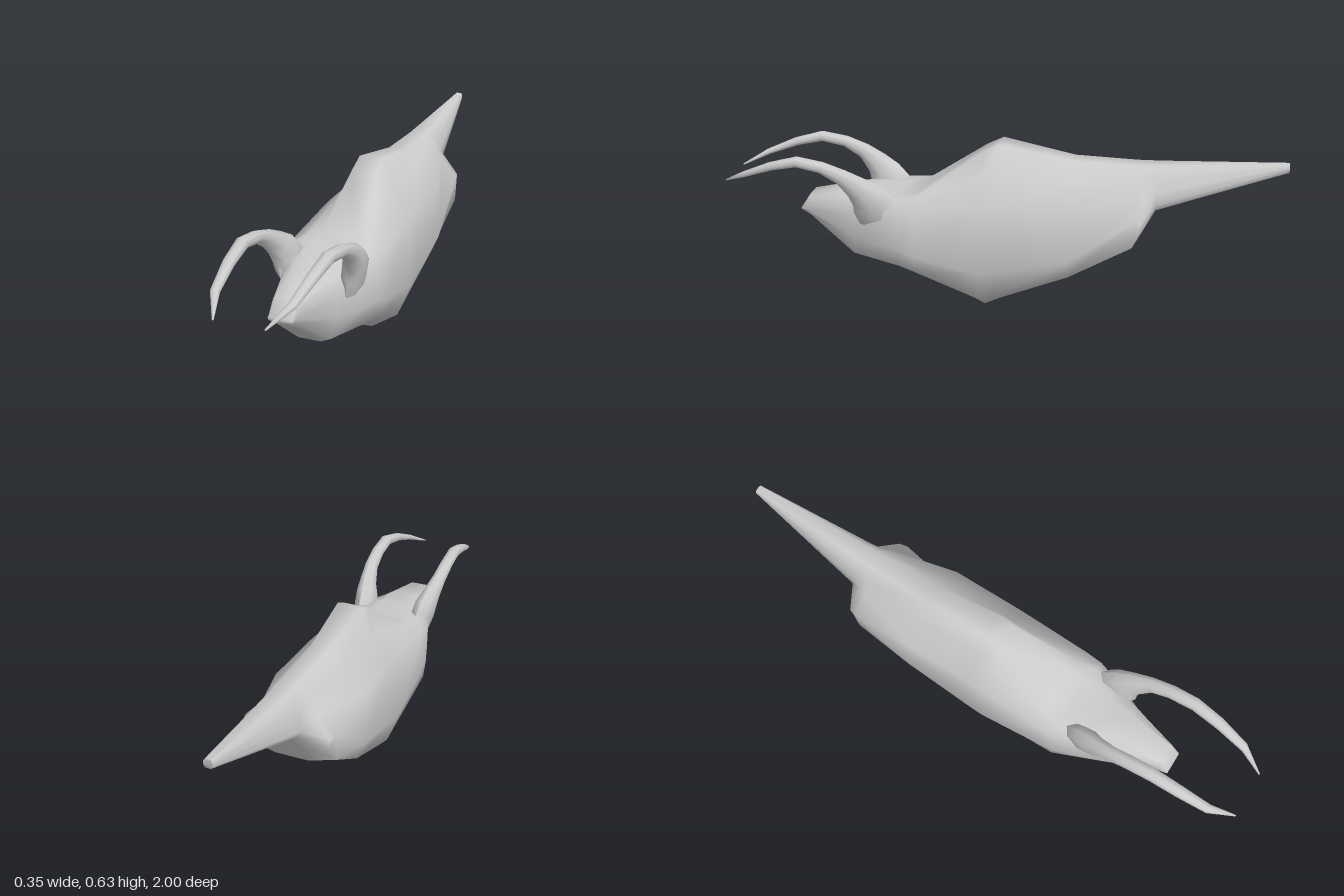
import * as THREE from 'three';
import { toCreasedNormals } from 'three/addons/utils/BufferGeometryUtils.js';

// Skin a list of rings of points and cap both ends.
function loft(rings, crease) {
  const n = rings[0].length, idx = [];
  for (let i = 0; i < rings.length - 1; i++) {
    for (let j = 0; j < n; j++) {
      const a = i * n + j, b = i * n + (j + 1) % n;
      idx.push(a, b, a + n, b, b + n, a + n);
    }
  }
  const last = (rings.length - 1) * n;
  for (let j = 1; j < n - 1; j++) {
    idx.push(0, j + 1, j, last, last + j, last + j + 1);
  }
  const g = new THREE.BufferGeometry();
  g.setAttribute('position', new THREE.Float32BufferAttribute(rings.flat(2), 3));
  g.setIndex(idx);
  return toCreasedNormals(g, crease);
}

// Half sections: z, then x, y pairs from top to bottom on the left side.
const head = [
  [0.735, [.036, .345, .040, .344, .042, .342, .042, .339, .040, .336, .034, .334]],
  [0.70, [.032, .397, .042, .385, .047, .36, .047, .335, .043, .318, .03, .308]],
  [0.53, [.05, .43, .085, .408, .102, .36, .10, .27, .078, .192, .04, .175]],
  [0.43, [.06, .432, .105, .428, .138, .39, .136, .26, .12, .192, .04, .165]],
];
const torso = [
  [0.34, [.07, .432, .125, .434, .162, .41, .165, .26, .157, .192, .03, .155]],
  [0.28, [.068, .447, .11, .442, .164, .42, .167, .235, .152, .168, .03, .122]],
  [0.05, [.047, .605, .088, .515, .164, .445, .172, .19, .125, .065, .026, .0]],
  [-0.01, [.045, .635, .086, .525, .164, .45, .172, .20, .126, .085, .026, .03]],
  [-0.27, [.034, .588, .084, .53, .164, .455, .17, .26, .14, .19, .03, .16]],
  [-0.49, [.03, .585, .070, .545, .100, .49, .163, .425, .16, .33, .06, .30]],
];
const tail = [
  [-0.52, [.03, .586, .065, .545, .085, .49, .156, .425, .15, .385, .05, .37]],
  [-0.56, [.029, .587, .058, .55, .072, .50, .076, .46, .055, .433, .02, .42]],
  [-1.0, [.009, .615, .014, .61, .016, .603, .016, .596, .014, .589, .009, .585]],
];

// Mirror a half section into a full ring.
function section([z, p]) {
  const half = [];
  for (let i = 0; i < p.length; i += 2) half.push([p[i], p[i + 1], z]);
  return [...half.map(([x, y]) => [-x, y, z]).reverse(), ...half];
}

// Horn path from flared root to tip: x, y, z, half width, half thickness.
const hornPath = [
  [.108, .355, .415, .034, .080],
  [.117, .405, .435, .040, .080],
  [.122, .440, .455, .040, .066],
  [.132, .475, .488, .032, .048],
  [.142, .516, .54, .026, .031],
  [.145, .548, .61, .025, .021],
  [.144, .563, .70, .024, .02],
  [.138, .538, .80, .022, .016],
  [.125, .495, .91, .017, .011],
  [.084, .452, 1.0, .003, .003],
];

function hornRings(side) {
  const sides = 8;
  return hornPath.map(([x, y, z, w, t], i) => {
    const a = hornPath[Math.max(i - 1, 0)], b = hornPath[Math.min(i + 1, hornPath.length - 1)];
    const len = Math.hypot(b[1] - a[1], b[2] - a[2]);
    const ny = (b[2] - a[2]) / len, nz = -(b[1] - a[1]) / len;
    return Array.from({ length: sides }, (_, k) => {
      const q = k / sides * Math.PI * 2, u = Math.cos(q) * w, v = Math.sin(q) * t;
      return [side * x + .006 + u, y + ny * v, Math.min(z + nz * v, 1)];
    });
  });
}

export function createModel() {
  const model = new THREE.Group();
  const material = new THREE.MeshStandardMaterial({ color: 0xcccccc });
  const add = (name, geometry) => {
    const mesh = new THREE.Mesh(geometry, material);
    mesh.name = name;
    model.add(mesh);
  };

  // Head, humped torso and tapering tail in one skin
  add('body', loft([...head, ...torso, ...tail].map(section), 1.4));

  // Curved horns growing out of the shoulders, tips turned inward
  add('leftHorn', loft(hornRings(1), 1.2));
  add('rightHorn', loft(hornRings(-1), 1.2));
  return model;
}
